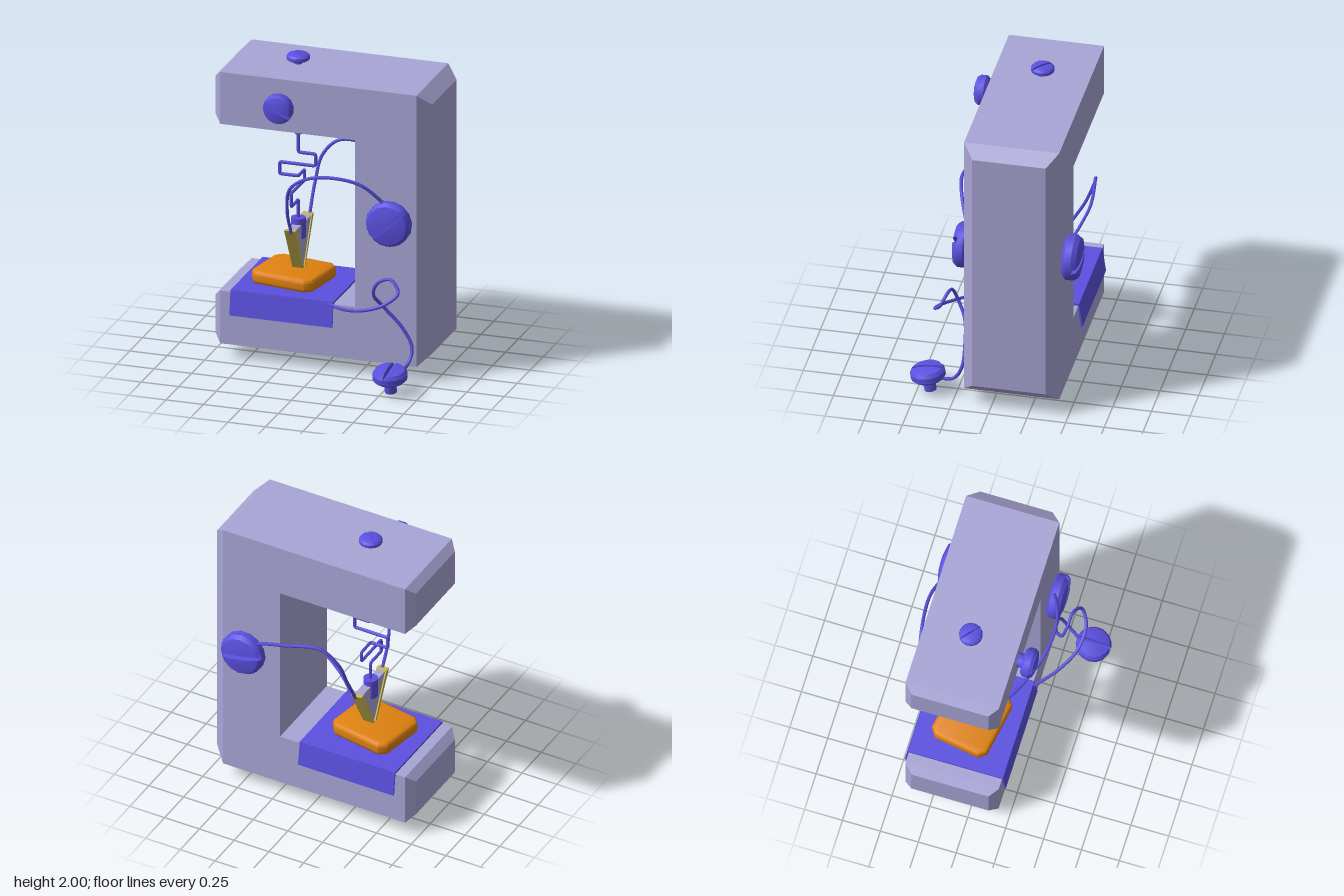
import * as THREE from 'three';
import { toCreasedNormals } from 'three/addons/utils/BufferGeometryUtils.js';

const BLUE = 0x5b50e0, FRAME = 0xa9a5d6, ORANGE = 0xe08210, GOLD = 0xc8b850;
const Z_BACK = -0.435, Z_FRONT = 0.18, Z_MID = -0.13;

function material(color, flat = false, side = THREE.FrontSide) {
  return new THREE.MeshStandardMaterial({ color, flatShading: flat, side });
}

function add(parent, name, geometry, mat) {
  const mesh = new THREE.Mesh(geometry, mat);
  mesh.name = name;
  parent.add(mesh);
  return mesh;
}

function polygon(points) {
  return new THREE.Shape(points.map(([x, y]) => new THREE.Vector2(x, y)));
}

// Extrudes a profile given as [z, y] along x, from x0 to x1
function extrudeAlongX(points, x0, x1) {
  const g = new THREE.ExtrudeGeometry(polygon(points), { depth: x1 - x0, bevelEnabled: false });
  return g.rotateY(-Math.PI / 2).translate(x1, 0, 0);
}

// Tapered block closing the end of a bar; xOut is the smaller end
function taperedEnd(xIn, xOut, y0, y1, insetY, insetZ) {
  const h = y1 - y0, d = Z_FRONT - Z_BACK, dir = Math.sign(xOut - xIn);
  const g = new THREE.BoxGeometry(Math.abs(xOut - xIn), h, d);
  const p = g.attributes.position;
  for (let i = 0; i < p.count; i++) {
    if (p.getX(i) * dir < 0) continue;
    p.setY(i, p.getY(i) * (1 - 2 * insetY / h));
    p.setZ(i, p.getZ(i) * (1 - 2 * insetZ / d));
  }
  g.translate((xIn + xOut) / 2, (y0 + y1) / 2, (Z_BACK + Z_FRONT) / 2);
  return g;
}

function wire(parent, name, points, radius = 0.011) {
  const curve = new THREE.CatmullRomCurve3(points.map(p => new THREE.Vector3(...p)));
  add(parent, name, new THREE.TubeGeometry(curve, points.length * 8, radius, 6), material(BLUE, false, THREE.DoubleSide));
}

// Slotted screw along +y with the underside of its head at the origin; slot runs along local x
function screw(name, r, h, shaftR, shaftL) {
  const group = new THREE.Group();
  group.name = name;
  const slot = r * 0.1, floor = h * 0.6, sides = 14;
  const lathe = (pts, n, start, len) =>
    new THREE.LatheGeometry(pts.map(([x, y]) => new THREE.Vector2(x, y)), n, start, len);

  // Lower part of the head up to the slot floor
  const lower = [[0, 0], [r * 0.82, 0], [r, h * 0.2], [r, floor], [0, floor]];
  add(group, 'headBase', toCreasedNormals(lathe(lower, sides), 0.7), material(BLUE));

  // Two domed halves with the slot between them
  const dome = [[r, floor], [r * 0.87, h * 0.85], [r * 0.5, h * 0.97], [0, h]];
  const wall = polygon([...dome, ...dome.slice(0, 3).reverse().map(([x, y]) => [-x, y])]);
  for (const turn of [0, Math.PI]) {
    const half = new THREE.Group();
    half.name = 'headHalf';
    half.rotation.y = turn;
    const g = lathe(dome, sides / 2, -Math.PI / 2, Math.PI);
    const p = g.attributes.position;
    for (let i = 0; i < p.count; i++) p.setZ(i, Math.max(p.getZ(i), slot));
    add(half, 'headDome', toCreasedNormals(g, 0.7), material(BLUE, false, THREE.DoubleSide));
    add(half, 'slotWall', new THREE.ShapeGeometry(wall).translate(0, 0, slot), material(BLUE, false, THREE.DoubleSide));
    group.add(half);
  }
  const shaft = new THREE.CylinderGeometry(shaftR, shaftR, shaftL, 12).translate(0, -shaftL / 2, 0);
  add(group, 'shaft', shaft, material(BLUE));
  return group;
}

export function createModel() {
  const model = new THREE.Group();
  model.name = 'pointContactDevice';

  // C-shaped frame with tapered ends
  const frame = new THREE.Group();
  frame.name = 'frame';
  model.add(frame);
  const frameMat = material(FRAME, true);
  const cShape = polygon([[-0.67, 0.1], [0.64, 0.1], [0.64, 1.93], [-0.67, 1.93],
    [-0.67, 1.58], [0.23, 1.58], [0.23, 0.455], [-0.67, 0.455]]);
  add(frame, 'frameBody', new THREE.ExtrudeGeometry(cShape, { depth: Z_FRONT - Z_BACK, bevelEnabled: false })
    .translate(0, 0, Z_BACK), frameMat);
  add(frame, 'spineBevel', taperedEnd(0.64, 0.72, 0.1, 1.93, 0.075, 0.07), frameMat);
  add(frame, 'upperArmTip', taperedEnd(-0.67, -0.72, 1.58, 1.93, 0.05, 0.053), frameMat);
  add(frame, 'lowerArmTip', taperedEnd(-0.67, -0.72, 0.1, 0.455, 0.05, 0.053), frameMat);

  // Folded metal plate over the lower arm, flaps splayed slightly
  add(model, 'basePlate', extrudeAlongX([
    [0.185, 0.47], [0.206, 0.305], [0.194, 0.305], [0.178, 0.456],
    [-0.433, 0.456], [-0.45, 0.305], [-0.463, 0.305], [-0.44, 0.47]], -0.6, 0.085), material(BLUE, true));

  // Crystal slab with softened edges, turned slightly
  const w = 0.195, d = 0.17, c = 0.03;
  const slab = polygon([[-w + c, -d], [w - c, -d], [w, -d + c], [w, d - c],
    [w - c, d], [-w + c, d], [-w, d - c], [-w, -d + c]]);
  const slabGeo = new THREE.ExtrudeGeometry(slab,
    { depth: 0.04, bevelThickness: 0.025, bevelSize: 0.025, bevelSegments: 2 });
  slabGeo.rotateX(-Math.PI / 2);
  const crystal = add(model, 'crystal', toCreasedNormals(slabGeo, 0.8), material(ORANGE));
  crystal.position.set(-0.28, 0.495, -0.115);
  crystal.rotation.y = -0.17;

  // Wedge pressed on the crystal, with foil along both slanted edges
  add(model, 'wedge', extrudeAlongX([[Z_MID - 0.165, 0.855], [Z_MID + 0.165, 0.855], [Z_MID, 0.562]],
    -0.278, -0.222), material(FRAME, true));
  for (const s of [-1, 1]) {
    const foil = [[0.004, 0.56], [0.15, 0.862], [0.185, 0.862], [0.022, 0.56]].map(([z, y]) => [Z_MID + s * z, y]);
    add(model, s > 0 ? 'frontFoil' : 'backFoil', extrudeAlongX(foil, -0.287, -0.215), material(GOLD, true));
  }

  // Spring rod: kinks sideways, then front to back
  const X = -0.255;
  const bends = [[X, 1.47, 0], [X, 1.33, 0], [-0.14, 1.33, 0], [-0.14, 1.25, 0], [-0.38, 1.25, 0], [-0.38, 1.17, 0],
    [X, 1.17, 0], [X, 1.17, -0.12], [X, 1.1, -0.12], [X, 1.1, 0.14], [X, 1.01, 0.14], [X, 1.01, 0], [X, 0.88, 0]]
    .map(([x, y, z]) => new THREE.Vector3(x, y, z + Z_MID));
  const springPath = new THREE.CurvePath();
  let from = bends[0];
  for (let i = 1; i < bends.length; i++) {
    const corner = bends[i], next = bends[i + 1];
    if (!next) { springPath.add(new THREE.LineCurve3(from, corner)); break; }
    const before = corner.clone().add(from.clone().sub(corner).setLength(0.015));
    const after = corner.clone().add(next.clone().sub(corner).setLength(0.015));
    springPath.add(new THREE.LineCurve3(from, before));
    springPath.add(new THREE.QuadraticBezierCurve3(before, corner, after));
    from = after;
  }
  add(model, 'spring', new THREE.TubeGeometry(springPath, 300, 0.011, 6), material(BLUE));
  add(model, 'springHolder', new THREE.CylinderGeometry(0.023, 0.023, 0.13, 12).translate(X, 1.52, Z_MID), material(BLUE));
  add(model, 'wedgeClamp', new THREE.CylinderGeometry(0.047, 0.047, 0.135, 14).translate(X, 0.825, Z_MID), material(BLUE));

  // Screws: position, then tilt about x and turn of the slot
  const screws = [
    ['topScrew', 0.075, 0.048, 0.026, 0.04, [-0.256, 1.952, Z_MID], 0, -0.78],
    ['clampScrew', 0.098, 0.09, 0.048, 0.06, [-0.256, 1.76, 0.218], Math.PI / 2, -0.5],
    ['frontTerminal', 0.148, 0.105, 0.05, 0.04, [0.47, 1.06, 0.178], Math.PI / 2, 0.75],
    ['backTerminal', 0.148, 0.115, 0.05, 0.04, [0.47, 1.06, -0.433], -Math.PI / 2, 0.19],
    ['looseTerminal', 0.112, 0.092, 0.039, 0.08, [0.55, 0.086, 0.428], 0.15, Math.PI / 2],
  ];
  for (const [name, r, h, sr, sl, pos, tilt, turn] of screws) {
    const s = screw(name, r, h, sr, sl);
    s.position.set(...pos);
    s.rotation.set(tilt, turn, 0);
    model.add(s);
  }

  // Connecting wires
  wire(model, 'frontWire', [[-0.245, 0.84, 0.035], [-0.24, 1.02, 0.13], [-0.2, 1.2, 0.2], [-0.05, 1.32, 0.28],
    [0.13, 1.355, 0.305], [0.3, 1.315, 0.27], [0.45, 1.17, 0.2]]);
  wire(model, 'backWire', [[-0.24, 0.84, -0.3], [-0.24, 1.03, -0.41], [-0.21, 1.2, -0.475], [-0.1, 1.3, -0.505],
    [0.15, 1.26, -0.53], [0.28, 1.21, -0.505], [0.4, 1.14, -0.46]]);
  wire(model, 'baseWire', [[0.06, 0.455, 0.19], [0.2, 0.48, 0.31], [0.35, 0.52, 0.39], [0.5, 0.58, 0.4],
    [0.575, 0.65, 0.35], [0.51, 0.72, 0.31], [0.42, 0.68, 0.3], [0.385, 0.59, 0.275], [0.44, 0.49, 0.22],
    [0.55, 0.36, 0.195], [0.615, 0.24, 0.2], [0.61, 0.15, 0.25], [0.56, 0.1, 0.35]]);

  return model;
}
